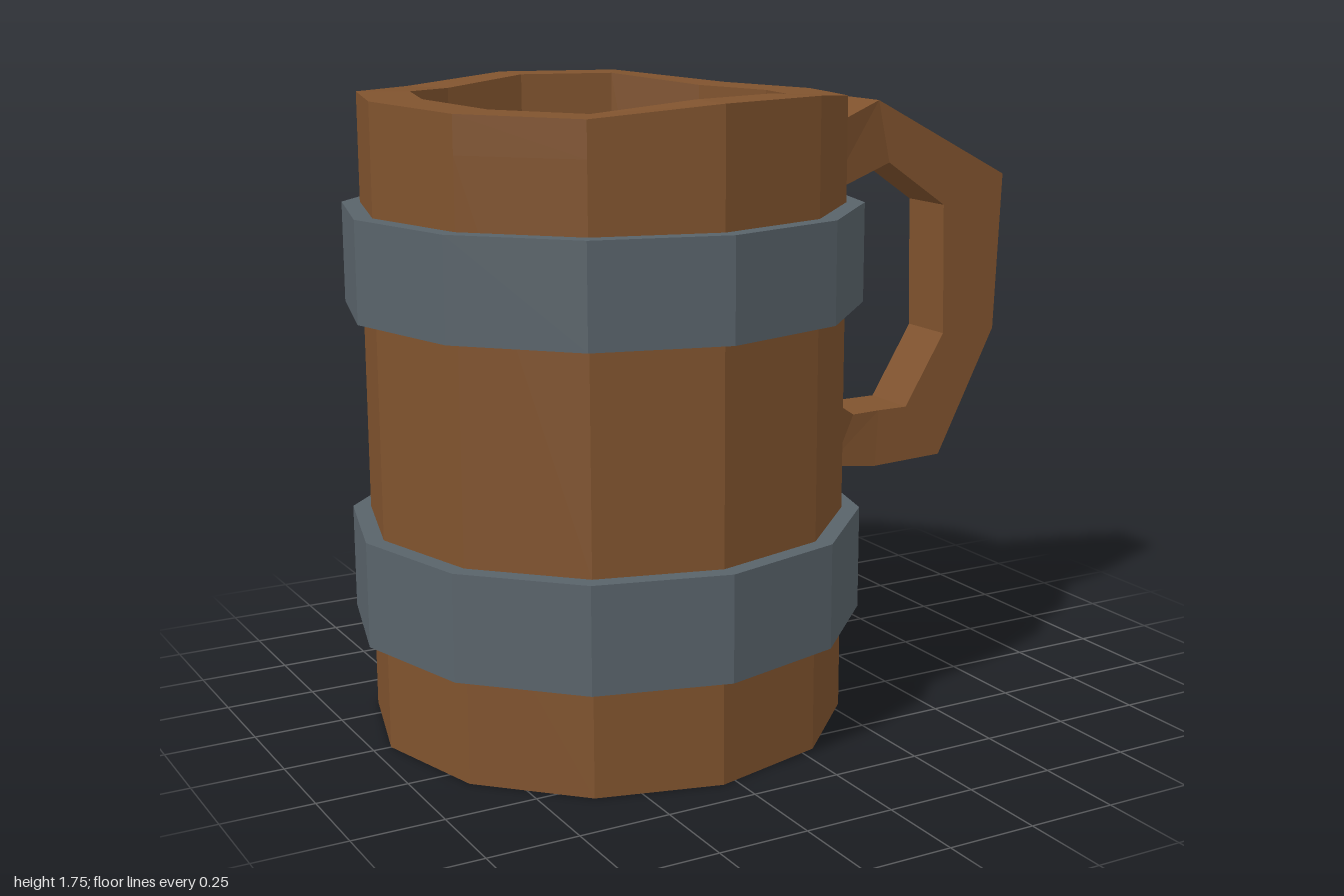
import * as THREE from 'three';

const CX = -0.29; // axis of the barrel
// twelve-sided ring, with the two half-edge points beside the handle corner
const ANGLES = [0, 15, 30, 60, 90, 120, 150, 180, 210, 240, 270, 300, 330, 345];
const RIM = [1.725, 1.728, 1.73, 1.755, 1.755, 1.725, 1.73, 1.74, 1.74, 1.73, 1.755, 1.755, 1.725, 1.725];

// y is a height or a list of heights; flat cuts off the corner under the handle
function ring(r, y, flat = false) {
  const mid = r * (1 + Math.cos(Math.PI / 6)) / 2;
  return ANGLES.map((deg, i) => {
    const a = THREE.MathUtils.degToRad(deg);
    let x = r * Math.cos(a), z = r * Math.sin(a);
    if (deg === 15 || deg === 345) {
      x = mid;
      z = Math.sign(z) * r / 4;
    }
    if (deg === 0 && flat) x = mid;
    return new THREE.Vector3(CX + x, Array.isArray(y) ? y[i] : y, z);
  });
}

// flat-shaded skin over a list of closed cross-sections
function loft(sections) {
  const pos = [];
  const tri = (...pts) => {
    if (new THREE.Triangle(...pts).getArea() > 1e-7) pts.forEach(p => pos.push(p.x, p.y, p.z));
  };
  for (let s = 0; s < sections.length - 1; s++) {
    const lo = sections[s], hi = sections[s + 1];
    lo.forEach((a, i) => {
      const j = (i + 1) % lo.length;
      tri(a, hi[i], hi[j]);
      tri(a, hi[j], lo[j]);
    });
  }
  const g = new THREE.BufferGeometry();
  g.setAttribute('position', new THREE.Float32BufferAttribute(pos, 3));
  g.computeVertexNormals();
  return g;
}

export function createModel() {
  const group = new THREE.Group();
  const wood = new THREE.MeshStandardMaterial({ color: 0x80532e, flatShading: true });
  const iron = new THREE.MeshStandardMaterial({ color: 0x59636a, flatShading: true });
  const black = new THREE.MeshStandardMaterial({ color: 0x0d0d0d, flatShading: true });
  wood.name = 'wood';
  iron.name = 'iron';
  black.name = 'black';

  const add = (name, geometry, material) => {
    const mesh = new THREE.Mesh(geometry, material);
    mesh.name = name;
    group.add(mesh);
    return mesh;
  };

  // barrel: base, outer wall, uneven rim, inner wall
  add('barrel', loft([
    ring(0, 0), ring(0.66, 0), ring(0.66, 0.585), ring(0.66, 0.585, true),
    ring(0.66, 1.63, true), ring(0.66, 1.63), ring(0.66, RIM),
    ring(0.515, RIM), ring(0.515, 0.3),
  ]), wood);

  // dark inside floor
  const floor = add('insideFloor', new THREE.CircleGeometry(0.515, 12).rotateX(-Math.PI / 2), black);
  floor.position.set(CX, 0.3, 0);

  // iron bands; the upper one is flattened under the handle
  const band = (y0, y1, flat) => loft([
    ring(0.65, y0, flat), ring(0.71, y0, flat), ring(0.71, y1, flat), ring(0.65, y1, flat),
  ]);
  add('lowerBand', band(0.295, 0.585, false), iron);
  add('upperBand', band(1.17, 1.443, true), iron);

  // handle: [outer x, outer y, inner x, inner y, half width]
  const handle = [
    [0.325, 1.63, 0.325, 1.445, 0.175],
    [0.55, 1.69, 0.59, 1.51, 0.087],
    [1.0, 1.455, 0.787, 1.375, 0.087],
    [0.98, 0.99, 0.797, 0.99, 0.087],
    [0.79, 0.62, 0.667, 0.78, 0.087],
    [0.56, 0.612, 0.57, 0.78, 0.087],
    [0.385, 0.635, 0.475, 0.78, 0.095],
    [0.325, 0.59, 0.325, 0.867, 0.175],
  ].map(([ox, oy, ix, iy, w]) => [
    new THREE.Vector3(ox, oy, w), new THREE.Vector3(ox, oy, -w),
    new THREE.Vector3(ix, iy, -w), new THREE.Vector3(ix, iy, w),
  ]);
  add('handle', loft(handle), wood);

  return group;
}
